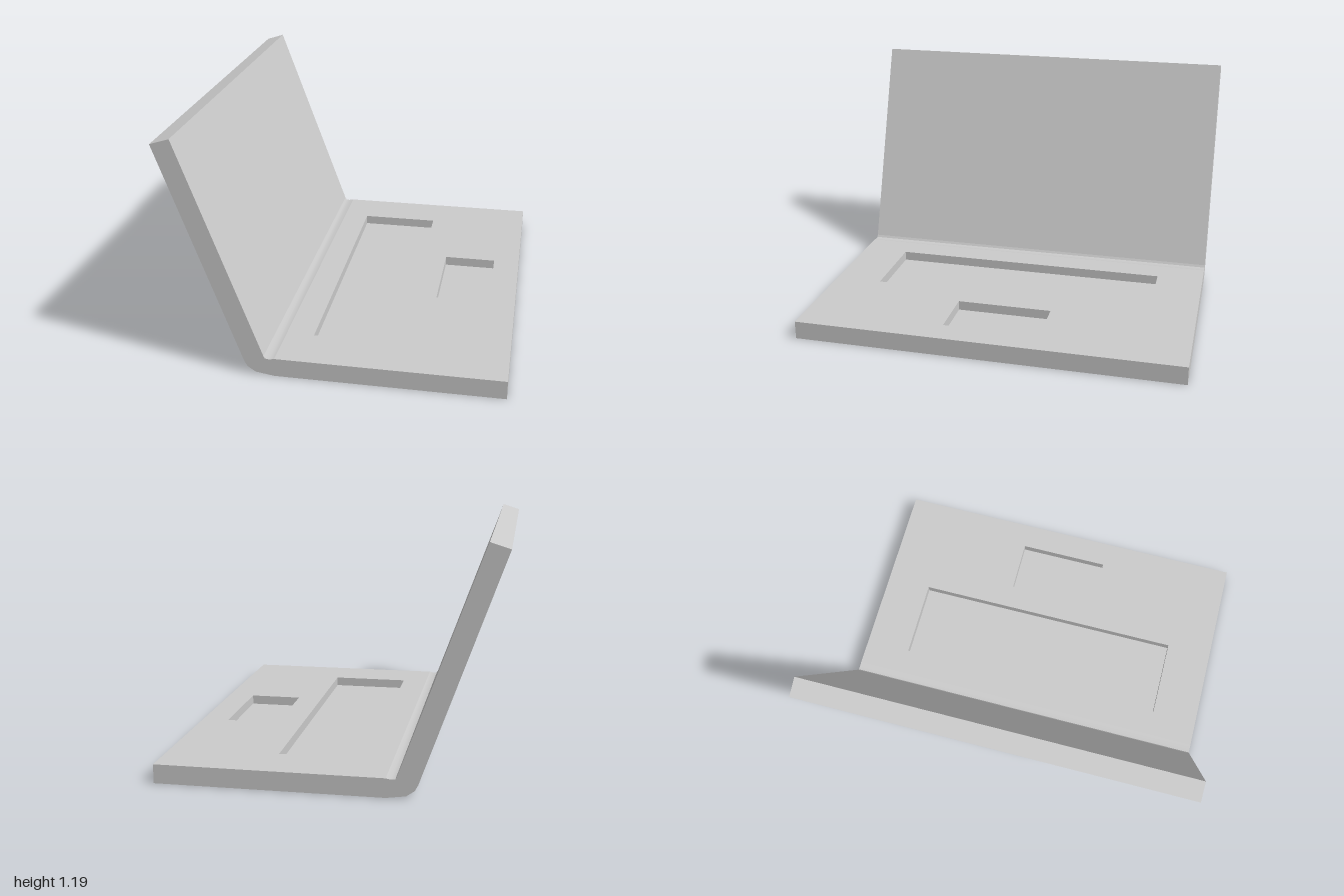
import * as THREE from 'three';
import { toCreasedNormals } from 'three/addons/utils/BufferGeometryUtils.js';

const HALF_DEPTH = 1;      // half of the width along z
const TOP = 0.095;         // deck height
const FLOOR = 0.045;       // bottom of the recesses
const DECK_BACK = -0.29, DECK_FRONT = 0.83;

const material = new THREE.MeshStandardMaterial({ color: 0xcccccc });

const toShape = (points) => new THREE.Shape(points.map(([x, y]) => new THREE.Vector2(x, y)));

function addPart(group, name, geometry) {
  const mesh = new THREE.Mesh(toCreasedNormals(geometry, 0.7), material);
  mesh.name = name;
  group.add(mesh);
}

// Side profile in x, y swept across the full width along z
function sweep(points) {
  const geometry = new THREE.ExtrudeGeometry(toShape(points), {
    depth: 2 * HALF_DEPTH, bevelEnabled: false,
  });
  return geometry.translate(0, 0, -HALF_DEPTH);
}

// Rectangle in x, z
const rectangle = (x0, x1, z) => [[x0, -z], [x1, -z], [x1, z], [x0, z]];

export function createModel() {
  const group = new THREE.Group();
  group.name = 'laptop';

  // Tilted display lid
  addPart(group, 'displayLid', sweep([
    [-0.44, 0.07], [-0.342, 0.105], [-0.735, 1.19], [-0.83, 1.16],
  ]));

  // Rounded bend joining lid and base
  addPart(group, 'hinge', sweep([
    [-0.44, 0.07], [-0.425, 0.042], [-0.385, 0.014], [DECK_BACK, 0],
    [DECK_BACK, TOP], [-0.315, 0.09], [-0.335, 0.093], [-0.342, 0.105],
  ]));

  // Lower half of the base, forming the floor of the recesses
  addPart(group, 'baseTray', sweep([
    [DECK_BACK, 0], [DECK_FRONT, 0], [DECK_FRONT, FLOOR], [DECK_BACK, FLOOR],
  ]));

  // Upper half of the base, cut out for the keyboard and the touchpad
  const deck = toShape(rectangle(DECK_BACK, DECK_FRONT, HALF_DEPTH));
  deck.holes.push(
    toShape(rectangle(-0.15, 0.275, 0.75)),
    toShape(rectangle(0.41, 0.69, 0.25)),
  );
  const deckGeometry = new THREE.ExtrudeGeometry(deck, { depth: TOP - FLOOR, bevelEnabled: false });
  deckGeometry.rotateX(-Math.PI / 2).translate(0, FLOOR, 0);
  addPart(group, 'keyboardDeck', deckGeometry);

  return group;
}
